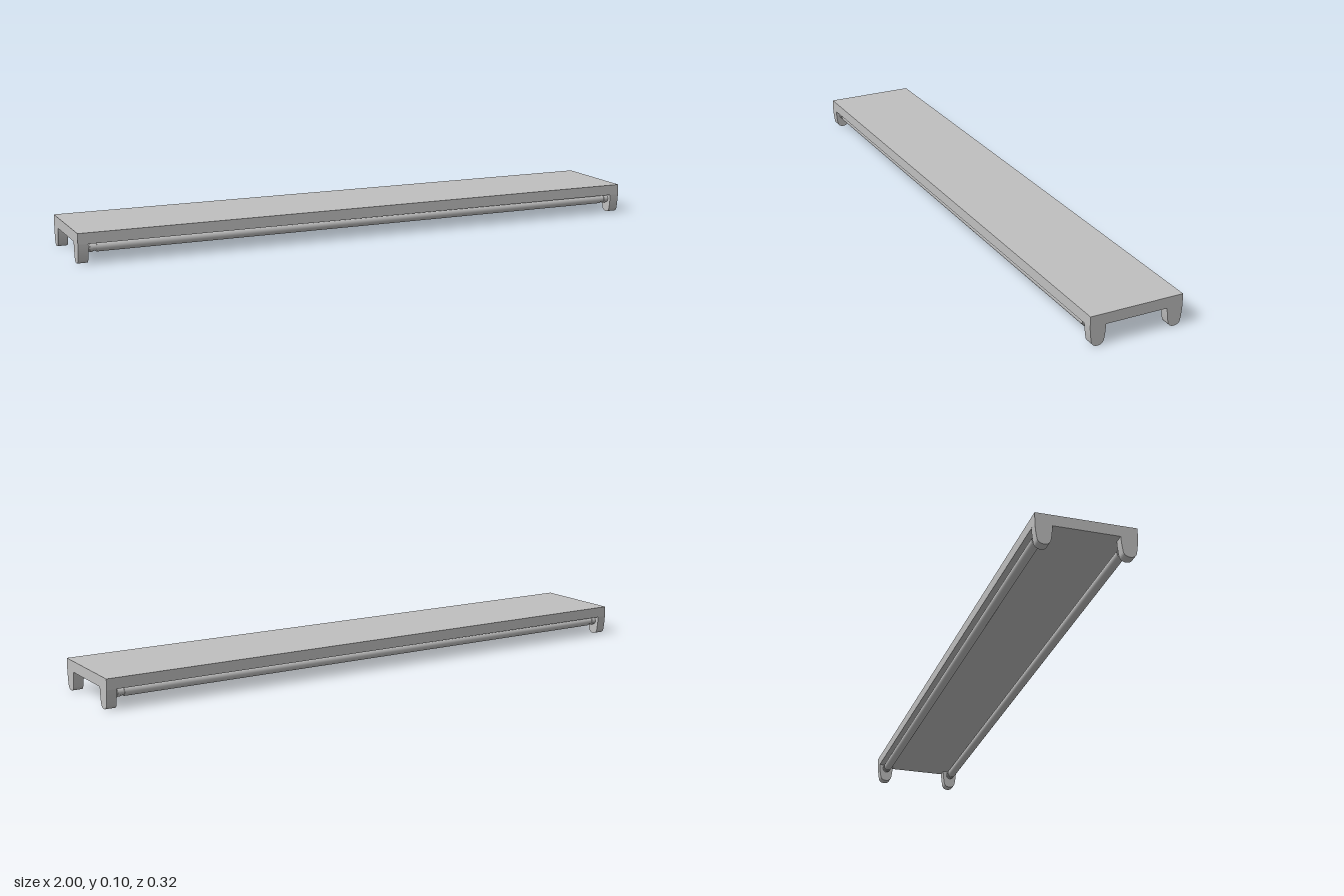
import * as THREE from 'three';

export function createModel() {
  const group = new THREE.Group();
  const grey = new THREE.MeshStandardMaterial({ color: 0xc0c0c0 });
  grey.name = 'light grey';
  const add = (name, geometry, x, y, z) => {
    const mesh = new THREE.Mesh(geometry, grey);
    mesh.name = name;
    mesh.position.set(x, y, z);
    group.add(mesh);
    return mesh;
  };

  // Flat housing
  add('housing', new THREE.BoxGeometry(2, 0.036, 0.318), 0, 0.083, 0);

  // Tapered lamp holder with a rounded foot, extruded along x
  const profile = new THREE.Shape();
  profile.moveTo(-0.027, 0.066);
  profile.bezierCurveTo(-0.026, 0.045, -0.024, 0.03, -0.021, 0.014);
  profile.bezierCurveTo(-0.018, 0.004, -0.009, 0, 0, 0);
  profile.bezierCurveTo(0.009, 0, 0.018, 0.004, 0.021, 0.014);
  profile.bezierCurveTo(0.024, 0.03, 0.026, 0.045, 0.027, 0.066);
  const holder = new THREE.ExtrudeGeometry(profile, { depth: 0.033, bevelEnabled: false, curveSegments: 8 });
  holder.translate(0, 0, -0.0165).rotateY(Math.PI / 2);

  // Lamp tube, end cap and collar, all lying along x
  const rod = (radius, length) => new THREE.CylinderGeometry(radius, radius, length, 24).rotateZ(Math.PI / 2);
  const tube = rod(0.0155, 1.872);
  const cap = rod(0.0125, 0.034);
  const collar = rod(0.015, 0.01);

  for (const z of [-0.132, 0.132]) {
    add('lampTube', tube, 0, 0.048, z);
    for (const side of [-1, 1]) {
      add('lampHolder', holder, side * 0.9835, 0, z);
      add('lampEndCap', cap, side * 0.952, 0.048, z);
      add('lampCollar', collar, side * 0.954, 0.048, z);
    }
  }
  return group;
}
